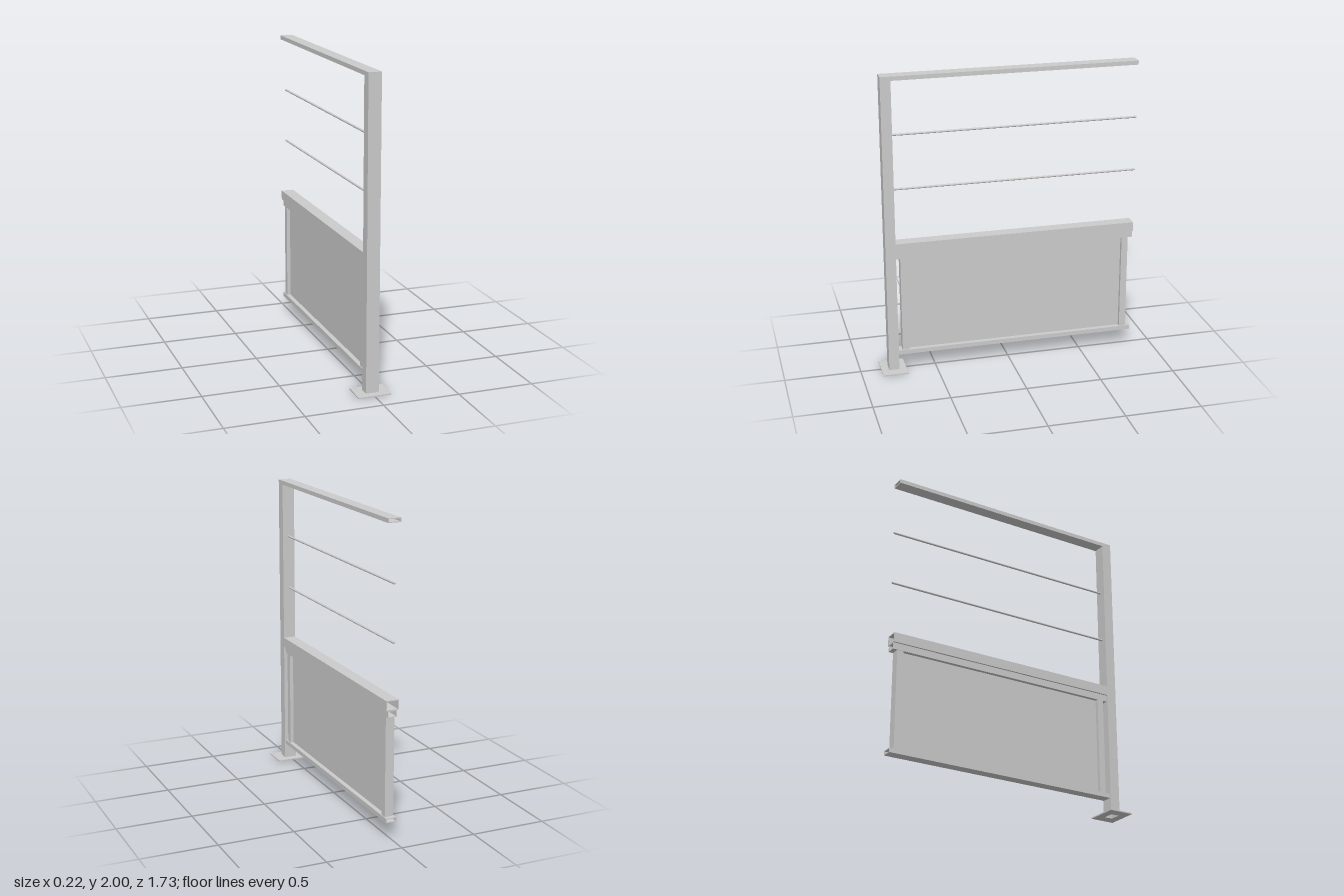
import * as THREE from 'three';

const material = new THREE.MeshStandardMaterial({ color: 0xcccccc });

function rectPath(target, w, h) {
  target.moveTo(-w / 2, -h / 2);
  target.lineTo(w / 2, -h / 2);
  target.lineTo(w / 2, h / 2);
  target.lineTo(-w / 2, h / 2);
  target.closePath();
  return target;
}

// Rectangular tube of size w x h, open at both ends, running along +z
function tubeGeometry(w, h, length, holeW, holeH) {
  const shape = rectPath(new THREE.Shape(), w, h);
  shape.holes.push(rectPath(new THREE.Path(), holeW, holeH));
  return new THREE.ExtrudeGeometry(shape, { depth: length, bevelEnabled: false });
}

export function createModel() {
  const model = new THREE.Group();
  model.name = 'railingSection';

  const add = (name, geometry, x = 0, y = 0, z = 0) => {
    const mesh = new THREE.Mesh(geometry, material);
    mesh.name = name;
    mesh.position.set(x, y, z);
    model.add(mesh);
    return mesh;
  };

  const postInner = 0.749, postOuter = 0.816, railEnd = -0.853;
  const postDepth = postOuter - postInner;
  const postZ = (postInner + postOuter) / 2;
  const postWidth = 0.084, wall = 0.005;

  // Hollow post with a closed top, standing on a pierced base plate
  const holeW = postWidth - 2 * wall, holeD = postDepth - 2 * wall;
  const post = tubeGeometry(postWidth, postDepth, 1.995, holeW, holeD).rotateX(-Math.PI / 2);
  add('post', post, 0, 0, postZ);
  add('postCap', new THREE.BoxGeometry(postWidth, 0.005, postDepth), 0, 1.9975, postZ);
  const plate = tubeGeometry(0.216, 0.166, 0.008, postWidth, postDepth).rotateX(-Math.PI / 2);
  add('basePlate', plate, 0, 0, postZ);

  // Hollow horizontal rails: name, width, bottom, top
  const rails = [
    ['topRail', 0.084, 1.973, 2],
    ['middleRail', 0.084, 0.832, 0.896],
    ['panelTopRail', 0.06, 0.788, 0.832],
    ['panelBottomRail', 0.07, 0.11, 0.139],
  ];
  for (const [name, w, y0, y1] of rails) {
    const h = y1 - y0;
    const geometry = tubeGeometry(w, h, postInner - railEnd, w - 2 * wall, h - 2 * wall);
    add(name, geometry, 0, (y0 + y1) / 2, railEnd);
  }

  // Thin round rods
  for (const y of [1.255, 1.615]) {
    const length = postInner + 0.865;
    const rod = new THREE.CylinderGeometry(0.007, 0.007, length, 16).rotateX(Math.PI / 2);
    add('rod', rod, 0, y, postInner - length / 2);
  }

  // Panel frame uprights and the recessed infill panel
  const bottom = 0.139, top = 0.788;
  const midY = (bottom + top) / 2, height = top - bottom;
  for (const [z0, z1] of [[0.677, 0.72], [-0.823, -0.78]]) {
    add('panelUpright', new THREE.BoxGeometry(0.058, height, z1 - z0), 0, midY, (z0 + z1) / 2);
  }
  add('panel', new THREE.BoxGeometry(0.01, height, 0.677 + 0.78), 0, midY, (0.677 - 0.78) / 2);

  return model;
}
